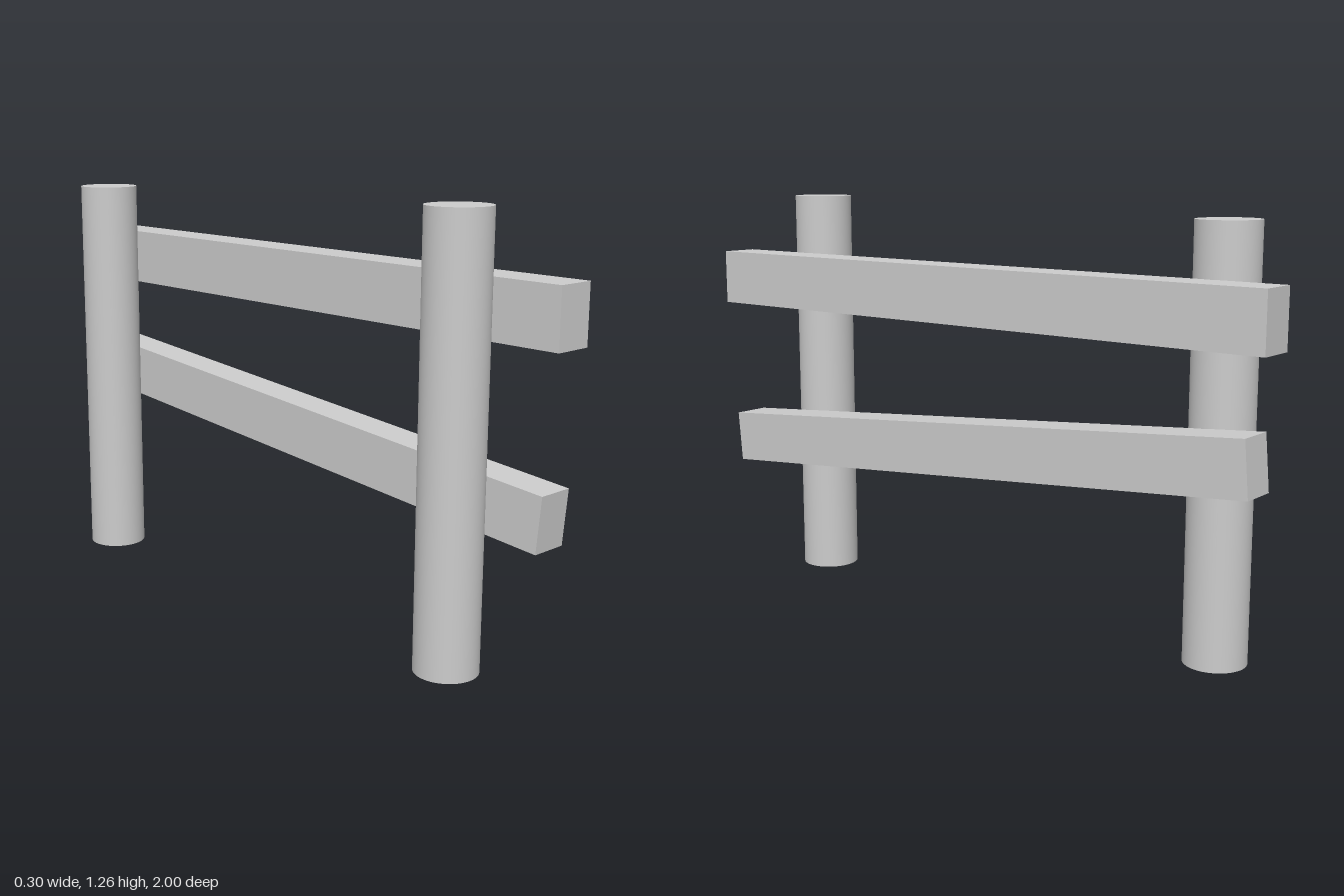
import * as THREE from 'three';

export function createModel() {
  const model = new THREE.Group();
  const material = new THREE.MeshStandardMaterial({ color: 0xcccccc });

  const add = (name, geometry, x, y, z) => {
    const mesh = new THREE.Mesh(geometry, material);
    mesh.name = name;
    mesh.position.set(x, y, z);
    model.add(mesh);
    return mesh;
  };

  // Round upright posts, the front one slightly taller
  const addPost = (name, bottom, top, z) =>
    add(name, new THREE.CylinderGeometry(0.091, 0.091, top - bottom, 48), -0.058, (bottom + top) / 2, z);
  addPost('frontPost', 0.005, 1.26, 0.74);
  addPost('backPost', 0, 1.229, -0.775);

  // Level upper rail on the left side of the posts
  add('upperRail', new THREE.BoxGeometry(0.118, 0.17, 2), 0.088, 0.99, 0);

  // Slipped lower rail, dropping toward the front
  const lowerRail = add('lowerRail', new THREE.BoxGeometry(0.113, 0.161, 1.927), 0.086, 0.531, 0.002);
  lowerRail.rotation.x = 0.086;

  return model;
}
